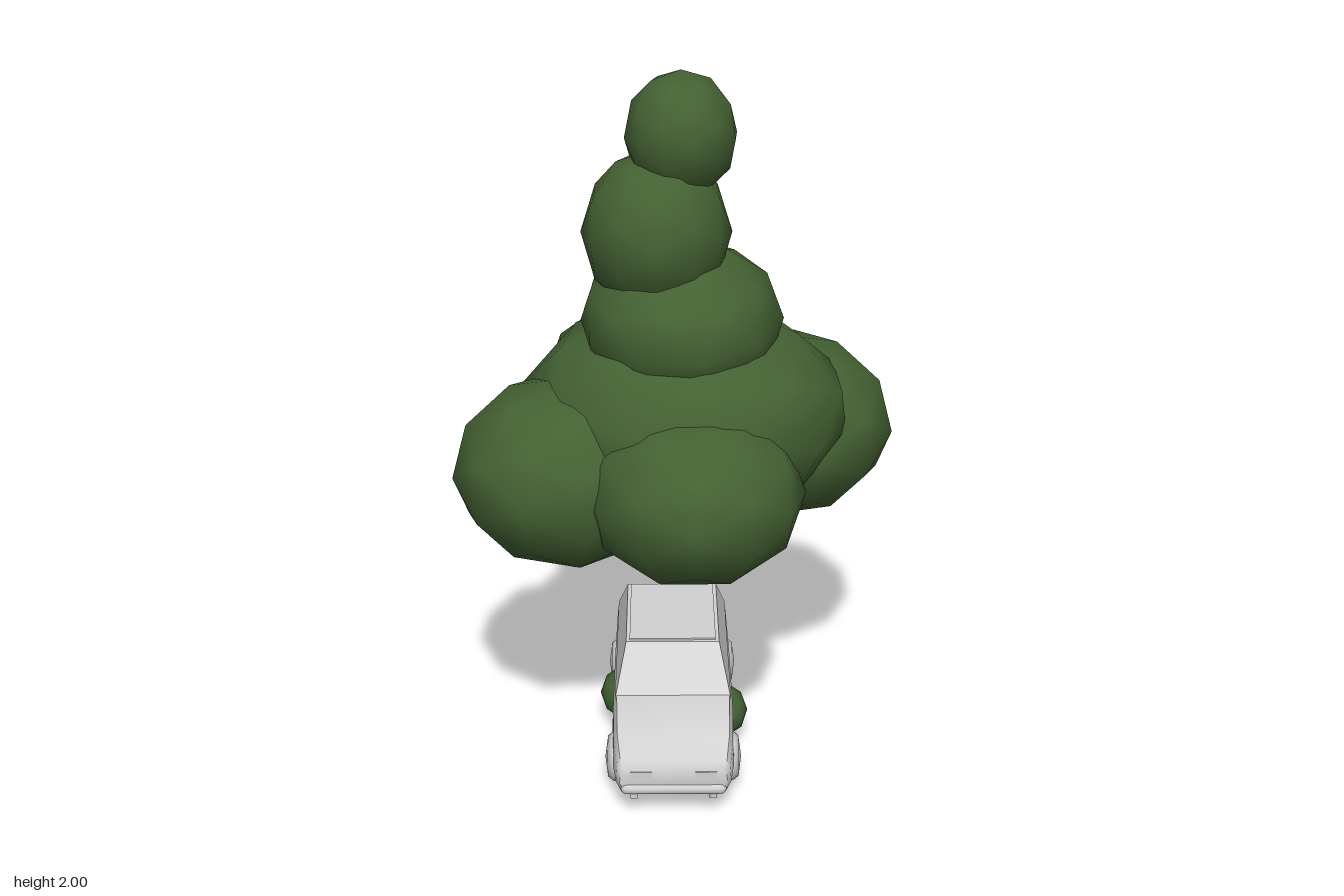
import * as THREE from 'three';
import { toCreasedNormals } from 'three/addons/utils/BufferGeometryUtils.js';

export function createModel() {
  const model = new THREE.Group();
  const leaf = new THREE.MeshStandardMaterial({ color: 0x446233 });
  leaf.name = 'leafGreen';
  const paint = new THREE.MeshStandardMaterial({ color: 0xd2d2d2 });
  paint.name = 'bodyGrey';

  const add = (parent, name, geometry, material, x = 0, y = 0, z = 0) => {
    const mesh = new THREE.Mesh(geometry, material);
    mesh.name = name;
    mesh.position.set(x, y, z);
    parent.add(mesh);
    return mesh;
  };

  // Low-poly leaf clumps: centre, radii, then turn and tilt of the facets
  const clump = (parent, name, [x, y, z, rx, ry, rz, turn = 0, tilt = 0]) => {
    const geo = new THREE.IcosahedronGeometry(1, 1);
    geo.rotateY(turn).rotateZ(tilt).scale(rx, ry, rz);
    add(parent, name, geo, leaf, x, y, z);
  };

  const foliage = new THREE.Group();
  foliage.name = 'foliage';
  model.add(foliage);
  [
    ['topClump', [0.008, 1.828, 0.022, 0.152, 0.172, 0.165, 0.2]],
    ['upperClump', [-0.057, 1.57, 0.042, 0.203, 0.225, 0.222]],
    ['middleClump', [0.01, 1.32, 0.033, 0.28, 0.22, 0.315, 0.2, -0.45]],
    ['coreClump', [0.02, 1.06, 0.032, 0.46, 0.3, 0.42, 0.3, 0.3]],
    ['frontClump', [0.042, 0.935, 0.325, 0.298, 0.245, 0.302]],
    ['rightClump', [-0.303, 0.933, 0.168, 0.315, 0.264, 0.305, -0.35]],
    ['backClump', [-0.098, 0.98, -0.325, 0.305, 0.265, 0.305]],
    ['leftClump', [0.295, 0.94, -0.15, 0.327, 0.265, 0.32, 0.3]],
  ].forEach(([name, spec]) => clump(foliage, name, spec));

  // Small bush poking out below the car
  const bush = new THREE.Group();
  bush.name = 'bush';
  model.add(bush);
  [
    ['bushLeft', [0.11, 0.11, 0.07, 0.095, 0.082, 0.095]],
    ['bushRight', [-0.135, 0.112, -0.03, 0.095, 0.082, 0.095]],
    ['bushFront', [0.02, 0.09, 0.04, 0.14, 0.088, 0.1, 0, 0.3]],
    ['bushBack', [-0.01, 0.095, -0.06, 0.14, 0.085, 0.1, 0, 0.3]],
  ].forEach(([name, spec]) => clump(bush, name, spec));

  const car = new THREE.Group();
  car.name = 'car';
  car.position.x = -0.015;
  model.add(car);

  // Body lofted front to back: z, half width, bottom, top
  const sections = [
    [0.455, 0.15, 0.085, 0.15], [0.44, 0.16, 0.07, 0.17], [0.37, 0.17, 0.06, 0.212],
    [0.21, 0.175, 0.06, 0.237], [-0.1, 0.175, 0.06, 0.243], [-0.37, 0.172, 0.06, 0.24],
    [-0.4, 0.167, 0.065, 0.234], [-0.412, 0.158, 0.075, 0.215],
  ];
  const pos = [], idx = [];
  for (const [z, w, b, t] of sections) {
    const h = t - b;
    const half = [[w * 0.9, b], [w, b + h * 0.35], [w * 0.98, t - h * 0.2], [w * 0.92, t]];
    half.forEach(([x, y]) => pos.push(x, y, z));
    half.reverse().forEach(([x, y]) => pos.push(-x, y, z));
  }
  const last = (sections.length - 1) * 8;
  for (let k = 0; k < last; k += 8) {
    for (let i = 0; i < 8; i++) {
      const a = k + i, b = k + (i + 1) % 8;
      idx.push(a, a + 8, b, b, a + 8, b + 8);
    }
  }
  for (let i = 1; i < 7; i++) idx.push(0, i, i + 1, last, last + i + 1, last + i);
  const body = new THREE.BufferGeometry();
  body.setAttribute('position', new THREE.Float32BufferAttribute(pos, 3));
  body.setIndex(idx);
  add(car, 'body', toCreasedNormals(body, 0.9), paint);

  // Cabin: a box whose upper corners are drawn in
  const cabin = new THREE.BoxGeometry(1, 1, 1);
  const p = cabin.attributes.position;
  for (let i = 0; i < p.count; i++) {
    const top = p.getY(i) > 0, front = p.getZ(i) > 0;
    p.setXYZ(i, Math.sign(p.getX(i)) * (top ? 0.135 : 0.166), top ? 0.344 : 0.23,
      front ? (top ? 0.08 : 0.21) : (top ? -0.28 : -0.38));
  }
  cabin.computeVertexNormals();
  add(car, 'cabin', cabin, paint);
  add(car, 'roofPanel', new THREE.BoxGeometry(0.25, 0.008, 0.34), paint, 0, 0.345, -0.1);

  // Rounded wheels, mirrored on both sides
  const wheelProfile = [[0, -0.035], [0.062, -0.035], [0.07, -0.026], [0.07, 0.012],
    [0.058, 0.028], [0, 0.036]].map(([r, y]) => new THREE.Vector2(r, y));
  for (const side of [-1, 1]) {
    for (const z of [0.29, -0.25]) {
      const geo = new THREE.LatheGeometry(wheelProfile, 20).rotateZ(-side * Math.PI / 2);
      add(car, z > 0 ? 'frontWheel' : 'rearWheel', geo, paint, side * 0.157, 0.092, z);
    }
    add(car, 'headlight', new THREE.BoxGeometry(0.06, 0.02, 0.008), paint, side * 0.09, 0.135, 0.454);
  }

  // Rounded bumpers on short feet
  for (const [end, z] of [['front', 0.447], ['rear', -0.405]]) {
    const bar = new THREE.CapsuleGeometry(0.017, 0.26, 4, 10).rotateZ(Math.PI / 2);
    add(car, end + 'Bumper', bar, paint, 0, 0.088, z);
    for (const side of [-1, 1]) {
      add(car, end + 'BumperFoot', new THREE.BoxGeometry(0.02, 0.03, 0.02), paint, side * 0.11, 0.075, z);
    }
  }

  return model;
}
